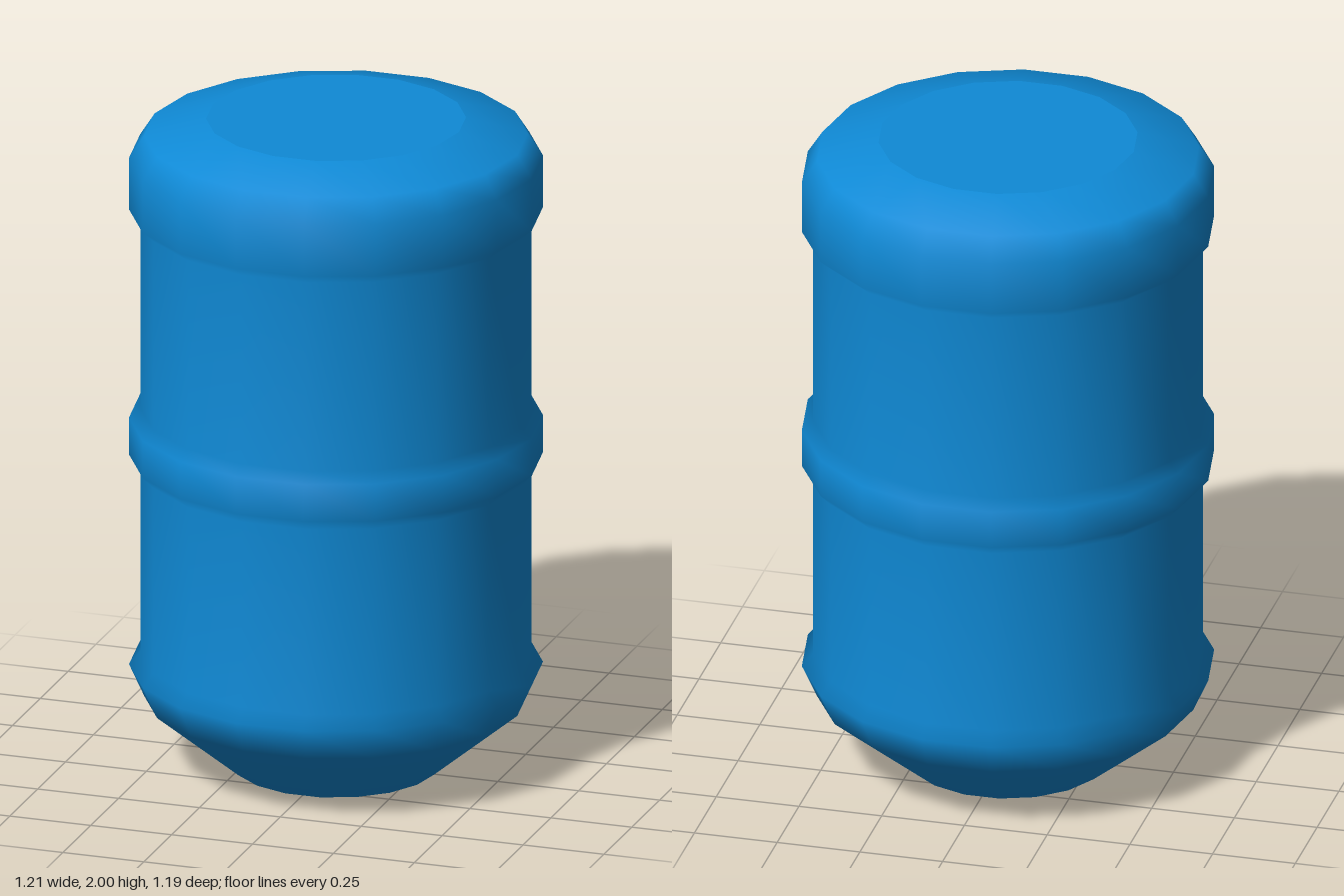
import * as THREE from 'three';

const SIDES = 18;

export function createModel() {
  const model = new THREE.Group();
  model.name = 'barrel';
  const blue = new THREE.MeshStandardMaterial({ color: 0x0f8ad6 });
  blue.name = 'blue plastic';

  const add = (name, geometry, y = 0) => {
    const mesh = new THREE.Mesh(geometry, blue);
    mesh.name = name;
    mesh.position.y = y;
    model.add(mesh);
  };

  // Side wall: tapered foot, lower rib, middle rib, rounded rim
  const profile = [
    [0.305, 0], [0.56, 0.21], [0.605, 0.31], [0.572, 0.35],
    [0.572, 0.925], [0.605, 0.96], [0.605, 1.075], [0.572, 1.105],
    [0.572, 1.69], [0.605, 1.72], [0.605, 1.88], [0.56, 1.95], [0.38, 2],
  ].map(([r, y]) => new THREE.Vector2(r, y));
  add('body', new THREE.LatheGeometry(profile, SIDES, Math.PI / 2));

  // Flat ends
  add('lid', new THREE.CircleGeometry(0.38, SIDES).rotateX(-Math.PI / 2), 2);
  add('base', new THREE.CircleGeometry(0.305, SIDES).rotateX(Math.PI / 2));

  return model;
}
